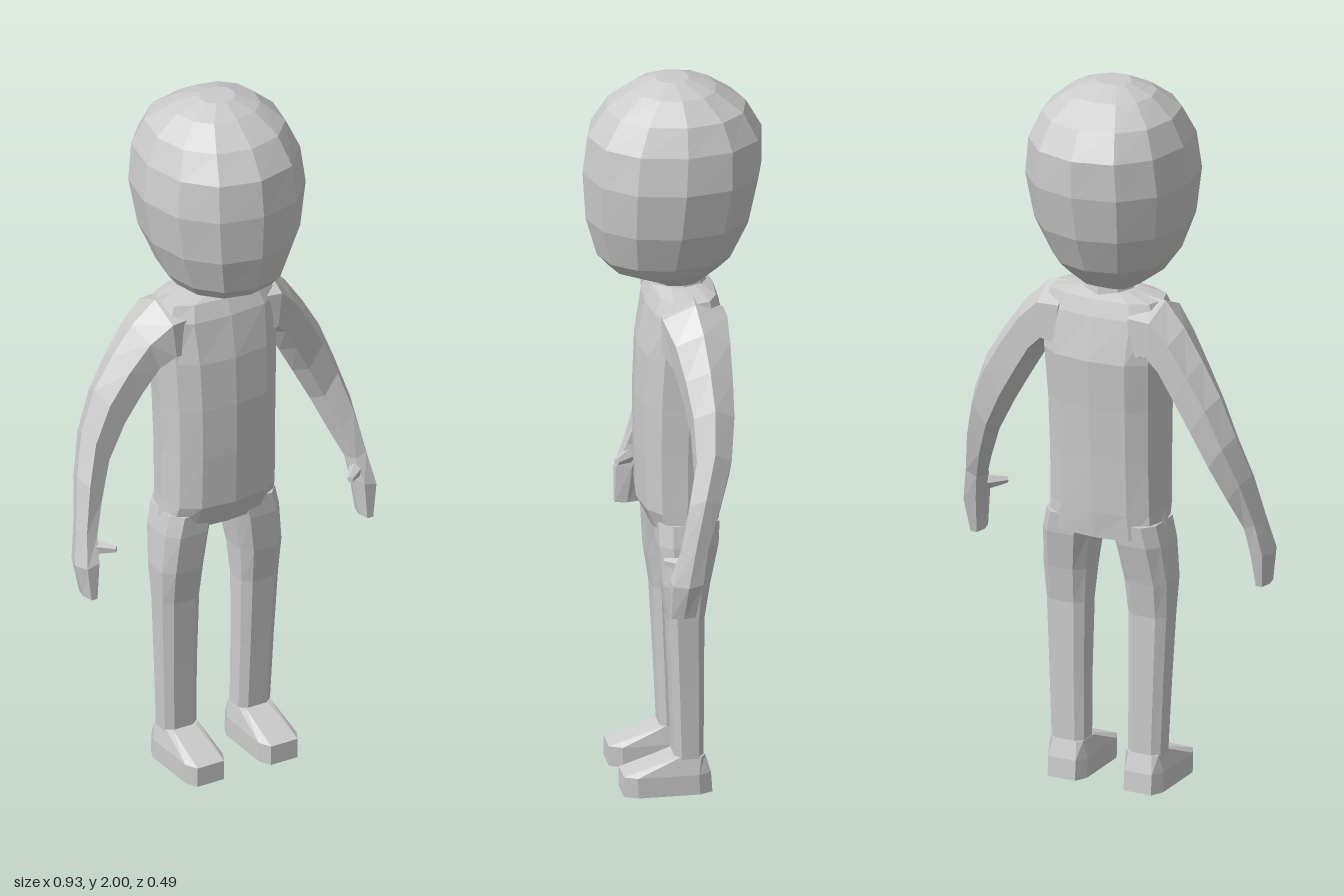
import * as THREE from 'three';

const material = new THREE.MeshStandardMaterial({ color: 0xcccccc, flatShading: true });

// Loft through cross-sections listed from top to bottom.
// Section: [outer x, outer y, inner x, inner y, front z, back z]
// power < 1 makes the sections boxier; turn offsets the corners by a fraction of a side.
function loft(name, sections, sides, power = 1, turn = 0) {
  const unit = [];
  const soften = (v) => (Math.abs(v) < 1e-6 ? 0 : Math.sign(v) * Math.abs(v) ** power);
  for (let i = 0; i < sides; i++) {
    const a = ((i + turn) / sides) * Math.PI * 2;
    unit.push([soften(Math.cos(a)), soften(Math.sin(a))]);
  }
  const mu = Math.max(...unit.map((p) => p[0]));
  const mv = Math.max(...unit.map((p) => p[1]));
  const pos = [], index = [];
  for (const [ax, ay, bx, by, zf, zb] of sections) {
    for (const [u, v] of unit) {
      const s = u / mu, t = v / mv;
      pos.push((ax + bx + s * (ax - bx)) / 2, (ay + by + s * (ay - by)) / 2, (zf + zb + t * (zf - zb)) / 2);
    }
  }
  const n = sections.length;
  for (let r = 0; r < n - 1; r++) {
    for (let i = 0; i < sides; i++) {
      const j = (i + 1) % sides;
      const a = r * sides + i, b = r * sides + j;
      index.push(a, b, b + sides, a, b + sides, a + sides);
    }
  }
  // End caps
  for (const [r, flip] of [[0, true], [n - 1, false]]) {
    const [ax, ay, bx, by, zf, zb] = sections[r];
    const c = pos.length / 3;
    pos.push((ax + bx) / 2, (ay + by) / 2, (zf + zb) / 2);
    for (let i = 0; i < sides; i++) {
      const a = r * sides + i, b = r * sides + ((i + 1) % sides);
      index.push(c, flip ? b : a, flip ? a : b);
    }
  }
  const g = new THREE.BufferGeometry();
  g.setAttribute('position', new THREE.Float32BufferAttribute(pos, 3));
  g.setIndex(index);
  const flat = g.toNonIndexed();
  flat.computeVertexNormals();
  const mesh = new THREE.Mesh(flat, material);
  mesh.name = name;
  return mesh;
}

// Symmetric section: half width, height, front z, back z
const level = ([w, y, zf, zb]) => [w, y, -w, y, zf, zb];

// Swap the two ends of a section to mirror it across x = 0
const mirror = ([ax, ay, bx, by, zf, zb]) => [-bx, by, -ax, ay, zf, zb];

// Limb section at a constant height: outer x, inner x, height, front z, back z
const flatCut = ([o, i, y, zf, zb]) => [o, y, i, y, zf, zb];

const headLevels = [
  [0.05, 2.0, 0.045, -0.045],
  [0.12, 1.973, 0.105, -0.12],
  [0.182, 1.92, 0.18, -0.2],
  [0.215, 1.845, 0.23, -0.243],
  [0.228, 1.74, 0.243, -0.243],
  [0.208, 1.61, 0.235, -0.215],
  [0.165, 1.505, 0.205, -0.165],
  [0.14, 1.472, 0.175, -0.13],
  [0.085, 1.432, 0.06, -0.085],
  [0.025, 1.4, 0.02, -0.04],
];

const torsoLevels = [
  [0.08, 1.42, 0.035, -0.075],
  [0.165, 1.405, 0.055, -0.11],
  [0.185, 1.36, 0.075, -0.125],
  [0.175, 1.24, 0.097, -0.15],
  [0.168, 1.1, 0.103, -0.138],
  [0.165, 0.95, 0.102, -0.13],
  [0.166, 0.8, 0.097, -0.123],
  [0.172, 0.725, 0.06, -0.115],
];

const armSections = [
  [0.1, 1.415, 0.12, 1.22, 0.05, -0.12],
  [0.175, 1.408, 0.155, 1.23, 0.055, -0.12],
  [0.238, 1.345, 0.185, 1.2, 0.03, -0.118],
  [0.298, 1.26, 0.225, 1.13, 0.012, -0.115],
  [0.352, 1.17, 0.27, 1.05, 0.0, -0.11],
  [0.395, 1.06, 0.32, 0.955, 0.0, -0.095],
  [0.427, 0.945, 0.36, 0.86, 0.025, -0.06],
  [0.45, 0.81, 0.392, 0.785, 0.05, -0.02],
];

const handSections = [
  [0.45, 0.81, 0.392, 0.785, 0.05, -0.02],
  [0.467, 0.71, 0.4, 0.725, 0.078, -0.005],
  [0.448, 0.617, 0.415, 0.617, 0.08, 0.015],
];

const legCuts = [
  [0.165, 0.025, 0.77, 0.06, -0.105],
  [0.178, 0.04, 0.71, 0.06, -0.1],
  [0.186, 0.058, 0.6, 0.052, -0.075],
  [0.181, 0.066, 0.5, 0.037, -0.06],
  [0.172, 0.068, 0.3, 0.027, -0.06],
  [0.164, 0.066, 0.09, 0.018, -0.06],
];

const footCuts = [
  [0.163, 0.065, 0.105, 0.02, -0.064],
  [0.174, 0.056, 0.056, 0.158, -0.078],
  [0.174, 0.056, 0, 0.158, -0.082],
];

// Tapered thumb between two points
function thumb(name, side) {
  const from = new THREE.Vector3(side * 0.43, 0.755, 0.025);
  const to = new THREE.Vector3(side * 0.366, 0.755, 0.085);
  const dir = to.clone().sub(from);
  const mesh = new THREE.Mesh(new THREE.CylinderGeometry(0.009, 0.027, dir.length(), 5), material);
  mesh.position.copy(from).add(to).multiplyScalar(0.5);
  mesh.quaternion.setFromUnitVectors(new THREE.Vector3(0, 1, 0), dir.normalize());
  mesh.name = name;
  return mesh;
}

export function createModel() {
  const model = new THREE.Group();
  model.name = 'figure';

  model.add(loft('head', headLevels.map(level), 12, 0.92));
  model.add(loft('torso', torsoLevels.map(level), 12, 0.75));

  const neck = new THREE.Mesh(new THREE.CylinderGeometry(0.06, 0.08, 0.1, 8), material);
  neck.name = 'neck';
  neck.position.set(0, 1.425, -0.02);
  model.add(neck);

  // Arms and legs, left then right
  for (const [side, label] of [[1, 'left'], [-1, 'right']]) {
    const place = (list) => (side > 0 ? list : list.map(mirror));
    model.add(
      loft(label + 'Arm', place(armSections), 6, 0.85),
      loft(label + 'Hand', place(handSections), 6, 0.85),
      thumb(label + 'Thumb', side),
      loft(label + 'Leg', place(legCuts.map(flatCut)), 8, 0.6, 0.5),
      loft(label + 'Foot', place(footCuts.map(flatCut)), 8, 0.4, 0.5),
    );
  }
  return model;
}
